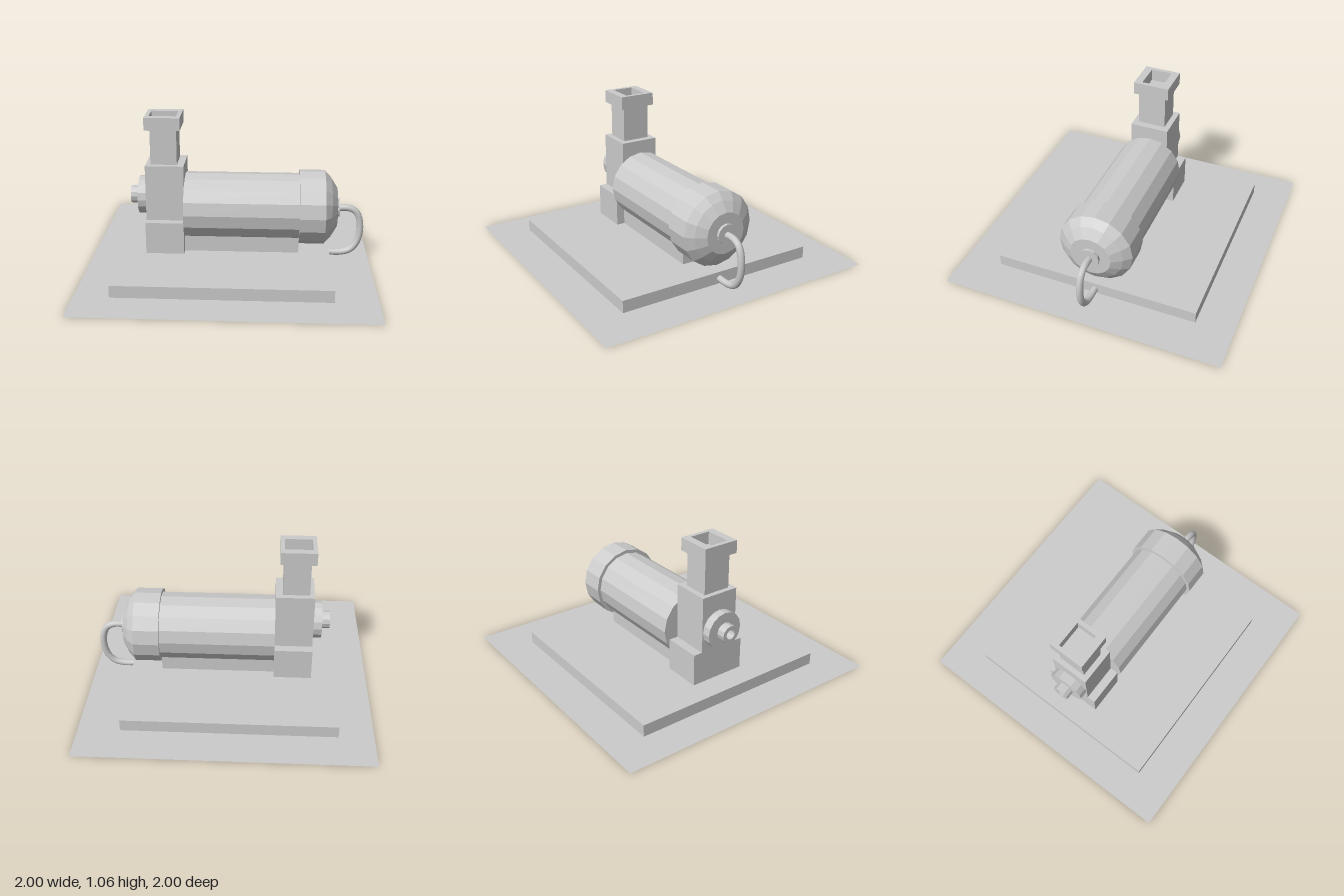
import * as THREE from 'three';

const mat = new THREE.MeshStandardMaterial({ color: 0xcccccc, flatShading: true });
const thin = new THREE.MeshStandardMaterial({ color: 0xcccccc, side: THREE.DoubleSide });
const smooth = new THREE.MeshStandardMaterial({ color: 0xcccccc });

export function createModel() {
  const model = new THREE.Group();
  model.name = 'motorPump';

  function add(name, geometry, material = mat) {
    const mesh = new THREE.Mesh(geometry, material);
    mesh.name = name;
    model.add(mesh);
    return mesh;
  }

  // Box given by its limits on each axis
  function box(name, x0, x1, y0, y1, z0, z1) {
    const g = new THREE.BoxGeometry(x1 - x0, y1 - y0, z1 - z0);
    g.translate((x0 + x1) / 2, (y0 + y1) / 2, (z0 + z1) / 2);
    return add(name, g);
  }

  // Turned part along x; profile lists [x, radius] with x rising
  function turned(name, profile, y, z, sides) {
    const g = new THREE.LatheGeometry(profile.map(([x, r]) => new THREE.Vector2(r, x)), sides);
    g.rotateZ(-Math.PI / 2);
    g.translate(0, y, z);
    return add(name, g);
  }

  // Ground sheet and base slab
  const ground = new THREE.PlaneGeometry(2, 2);
  ground.rotateX(-Math.PI / 2);
  ground.translate(0, 0.003, 0);
  add('groundSheet', ground, thin);
  box('baseSlab', -0.76, 0.71, 0.005, 0.09, -0.735, 0.73);

  // Pump housing, wide below and narrow above
  box('housingFoot', -0.59, -0.32, 0.09, 0.32, -0.205, 0.2);
  box('housingBody', -0.59, -0.32, 0.32, 0.72, -0.14, 0.14);

  // Outlet neck with a hollow square flange
  box('outletNeck', -0.555, -0.37, 0.72, 0.975, -0.1, 0.1);
  const rect = (Type, w, d) => new Type([[-w, -d], [w, -d], [w, d], [-w, d]].map(([x, y]) => new THREE.Vector2(x, y)));
  const flangeShape = rect(THREE.Shape, 0.124, 0.13);
  flangeShape.holes.push(rect(THREE.Path, 0.095, 0.075));
  const flange = new THREE.ExtrudeGeometry(flangeShape, { depth: 0.09, bevelEnabled: false });
  flange.rotateX(-Math.PI / 2);
  flange.translate(-0.466, 0.972, 0);
  add('outletFlange', flange);

  // Inlet hub with a bored nozzle
  turned('inletHub', [[-0.65, 0], [-0.65, 0.135], [-0.58, 0.135]], 0.465, 0, 16);
  turned('inletNozzle', [[-0.652, 0], [-0.652, 0.035], [-0.71, 0.035], [-0.71, 0.063], [-0.65, 0.063]], 0.465, 0, 12);

  // Motor on its cradle
  const my = 0.388, mz = -0.008;
  box('motorCradle', -0.32, 0.49, 0.09, 0.21, -0.14, 0.14);
  turned('motorBody', [[-0.32, 0], [-0.32, 0.24], [0.5, 0.24]], my, mz, 16);
  turned('motorCap', [[0.49, 0], [0.49, 0.265], [0.67, 0.265], [0.717, 0.215], [0.76, 0.145], [0.76, 0]], my, mz, 16);
  turned('cableBoss', [[0.75, 0.07], [0.78, 0.07], [0.78, 0]], my, mz, 12);

  // Cable looping from the motor down to the base
  const path = [[0.76, 0.382], [0.85, 0.382], [0.905, 0.35], [0.935, 0.25], [0.92, 0.13], [0.87, 0.062], [0.8, 0.04], [0.7, 0.04]];
  const curve = new THREE.CatmullRomCurve3(path.map(([x, y]) => new THREE.Vector3(x, y, mz)));
  add('cable', new THREE.TubeGeometry(curve, 28, 0.024, 10), smooth);

  return model;
}
